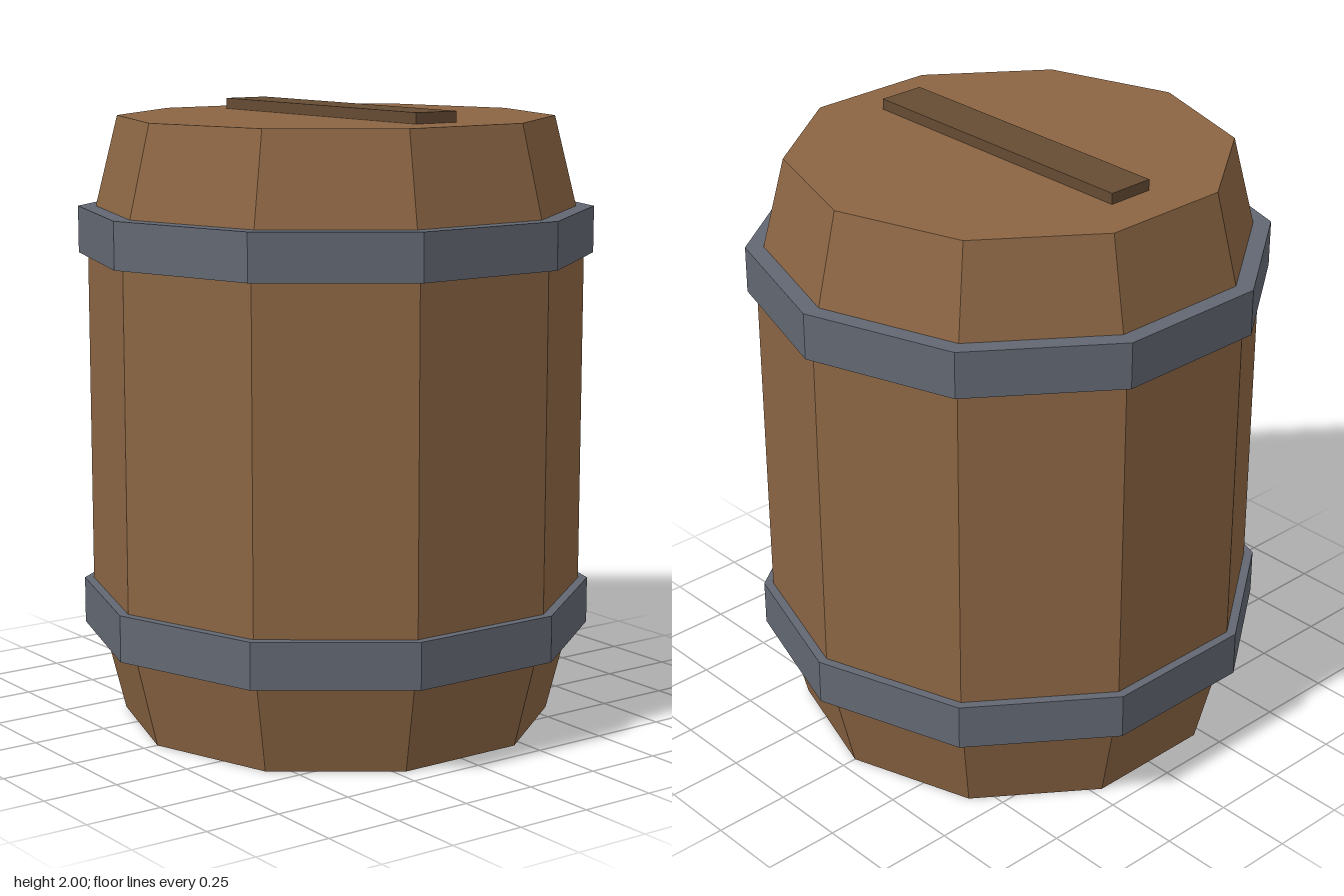
import * as THREE from 'three';

const SIDES = 10;

export function createModel() {
  const barrel = new THREE.Group();
  barrel.name = 'barrel';

  const material = (name, color, side = THREE.FrontSide) => {
    const m = new THREE.MeshStandardMaterial({ color, flatShading: true, side });
    m.name = name;
    return m;
  };
  const wood = material('wood', 0x8b6543, THREE.DoubleSide);
  const darkWood = material('dark wood', 0x654b33);
  const iron = material('iron', 0x626772);

  const add = (name, geometry, mat, y) => {
    const mesh = new THREE.Mesh(geometry, mat);
    mesh.name = name;
    mesh.position.y = y;
    barrel.add(mesh);
  };
  // Ten-sided section between two heights, with a corner facing the front
  const section = (name, rTop, rBottom, y0, y1, mat, open) =>
    add(name, new THREE.CylinderGeometry(rTop, rBottom, y1 - y0, SIDES, 1, open), mat, (y0 + y1) / 2);

  // Staves: open tapered foot, straight middle, tapered shoulder closed by the lid
  section('lowerStaves', 0.8, 0.7, 0, 0.4, wood, true);
  section('middleStaves', 0.8, 0.8, 0.4, 1.565, wood, true);
  section('upperStaves', 0.7, 0.8, 1.565, 1.965, wood, false);

  // Solid hoops; the lower one also forms the recessed floor
  section('lowerHoop', 0.83, 0.83, 0.295, 0.445, iron, false);
  section('upperHoop', 0.83, 0.83, 1.525, 1.675, iron, false);

  // Slat across the lid
  add('lidSlat', new THREE.BoxGeometry(1.035, 0.05, 0.155), darkWood, 1.975);

  return barrel;
}
